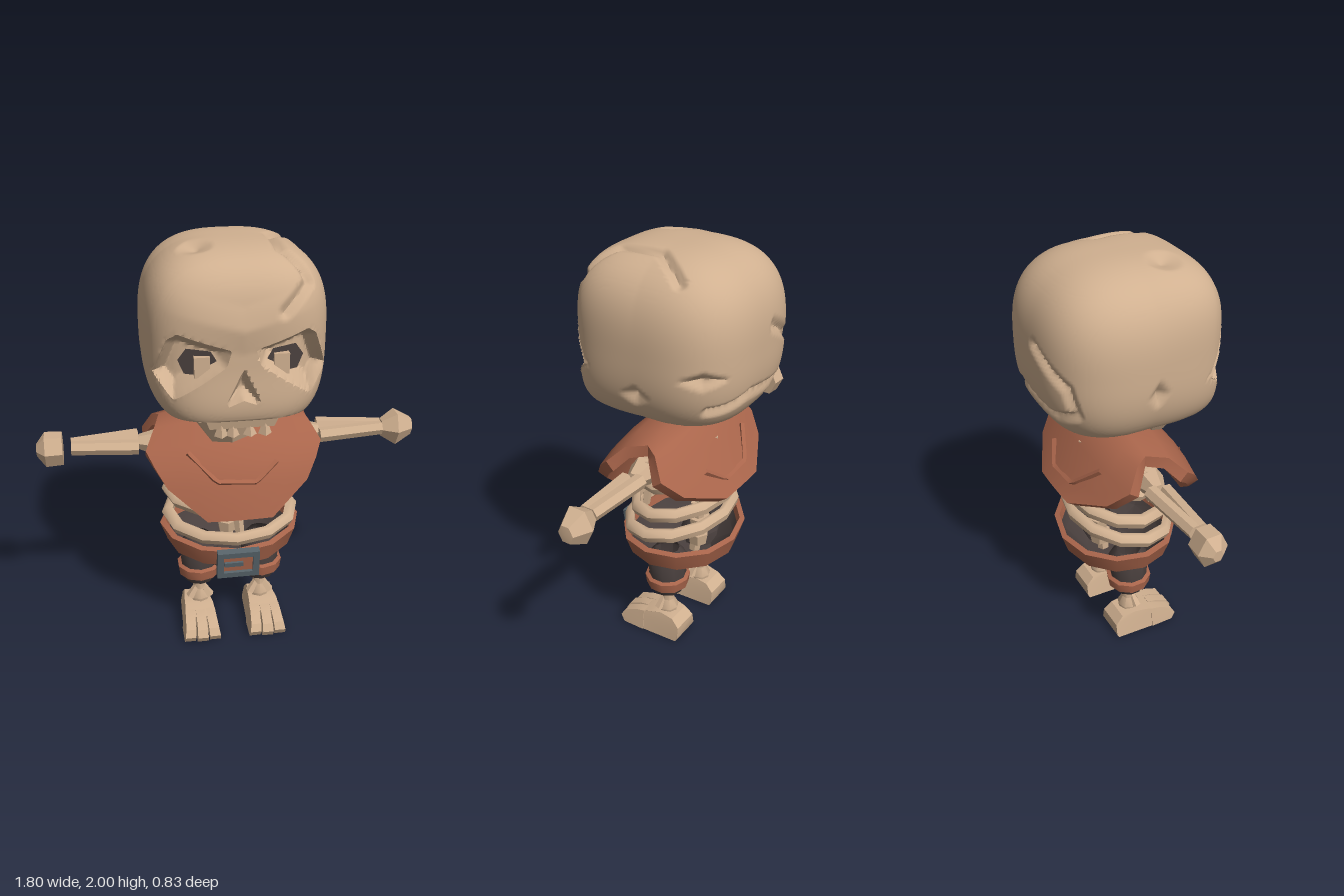
import * as THREE from 'three';
import { mergeVertices, toCreasedNormals } from 'three/addons/utils/BufferGeometryUtils.js';

const mat = (name, color, side = THREE.FrontSide) => new THREE.MeshStandardMaterial({ name, color, side });
const V = (x, y, z) => new THREE.Vector3(x, y, z);

export function createModel() {
  const bone = mat('bone', 0xd0b090);
  const cloth = mat('russet cloth', 0xa9654b);
  const dark = mat('dark brown', 0x4a403e, THREE.DoubleSide);
  const metal = mat('grey metal', 0x58646a);
  const model = new THREE.Group();
  model.name = 'skeleton';

  // ---- helpers ----
  const add = (name, geo, material, x = 0, y = 0, z = 0, crease = 0.55) => {
    const m = new THREE.Mesh(toCreasedNormals(geo, crease), material);
    m.name = name;
    m.position.set(x, y, z);
    model.add(m);
    return m;
  };
  const lathe = (pts, seg) => new THREE.LatheGeometry(pts.map(p => new THREE.Vector2(...p)), seg);
  const shape = pts => new THREE.Shape(pts.map(p => new THREE.Vector2(...p)));
  const rod = (name, a, b, ra, rb, sides = 6) => {
    const d = b.clone().sub(a);
    const m = add(name, new THREE.CylinderGeometry(rb, ra, d.length(), sides), bone);
    m.position.copy(a).add(b).multiplyScalar(0.5);
    m.quaternion.setFromUnitVectors(V(0, 1, 0), d.normalize());
  };
  // side profile [z, y] given a width along x
  const slab = (pts, width) => new THREE.ExtrudeGeometry(shape(pts), { depth: width, bevelEnabled: false })
    .translate(0, 0, -width / 2).rotateY(-Math.PI / 2);
  const bend = (geo, rule) => {
    const p = geo.attributes.position, v = V(0, 0, 0);
    for (let i = 0; i < p.count; i++) {
      rule(v.fromBufferAttribute(p, i));
      p.setXYZ(i, v.x, v.y, v.z);
    }
    geo.computeVertexNormals();
    return geo;
  };

  // ---- skull: rounded box with sockets, nose, cracks and chips pressed in ----
  const onSkull = v => {
    const q = V(v.x / 0.403, (v.y - 1.6) / 0.4, v.z / 0.41);
    const n = 2.8 + 0.5 * THREE.MathUtils.clamp(q.z / q.length() / 0.6, 0, 1); // squarer face
    const r = (Math.abs(q.x) ** n + Math.abs(q.y) ** n + Math.abs(q.z) ** n) ** (1 / n);
    return v.set(q.x / r * 0.403, 1.6 + q.y / r * 0.4, q.z / r * 0.41);
  };
  // press a mirrored outline into the face, pulling nearby vertices onto its rim
  const press = (v, poly, ramp, depth) => {
    const p = V(Math.abs(v.x), v.y, 0), c = V(0, 0, 0), rim = V(9, 9, 0);
    let inside = false;
    poly.forEach(([ax, ay], i) => {
      const [bx, by] = poly[(i + 1) % poly.length];
      if ((ay > p.y) !== (by > p.y) && p.x < (bx - ax) * (p.y - ay) / (by - ay) + ax) inside = !inside;
      new THREE.Line3(V(ax, ay, 0), V(bx, by, 0)).closestPointToPoint(p, true, c);
      if (c.distanceTo(p) < rim.distanceTo(p)) rim.copy(c);
    });
    const d = rim.distanceTo(p);
    if (d < 0.007) v.set(Math.sign(v.x) * Math.abs(rim.x), rim.y, v.z);
    else if (inside) v.z -= depth * Math.min(1, d / ramp);
  };
  const socket = [[0.07, 1.55], [0.05, 1.62], [0.27, 1.69], [0.31, 1.66], [0.37, 1.5], [0.29, 1.4], [0.17, 1.48]];
  const nose = [[0, 1.54], [-0.085, 1.365], [0, 1.4], [0.085, 1.365]];
  const cracks = [
    [[0.3, 1.93, -0.17], [0.18, 2, 0], [0.18, 1.97, 0.2], [0.28, 1.87, 0.32], [0.17, 1.77, 0.39]],
    [[-0.06, 1.68, -0.4], [-0.28, 1.56, -0.37], [-0.3, 1.43, -0.34], [-0.18, 1.38, -0.38], [0.1, 1.42, -0.4], [0.32, 1.37, -0.33]],
  ].map(path => {
    const out = [];
    for (let i = 0; i + 1 < path.length; i++)
      for (let k = 0; k <= 16; k++) out.push(onSkull(V(...path[i]).lerp(V(...path[i + 1]), k / 16)));
    return out;
  }).flat();
  // diamond chips: position, half width, half height
  const chips = [[[-0.18, 2, 0.15], 0.09, 0.1], [[0.34, 1.54, -0.31], 0.13, 0.045],
    [[0.4, 1.42, 0], 0.08, 0.06], [[-0.4, 1.5, 0], 0.05, 0.08]].map(([p, w, h]) => [onSkull(V(...p)), w, h]);
  const centre = V(0, 1.6, 0);
  let skull = new THREE.BoxGeometry(2, 2, 2, 60, 60, 60);
  skull.deleteAttribute('normal');
  skull.deleteAttribute('uv');
  skull = mergeVertices(skull);
  bend(skull, v => {
    onSkull(v.multiplyScalar(0.4).add(centre));
    let dent = 0;
    for (const c of cracks) dent = Math.max(dent, 0.028 * (1 - v.distanceTo(c) / 0.034));
    for (const [c, w, h] of chips)
      dent = Math.max(dent, 0.035 * (1 - Math.hypot(v.x - c.x, v.z - c.z) / w - Math.abs(v.y - c.y) / h));
    v.addScaledVector(centre.clone().sub(v).normalize(), dent);
    v.y = Math.max(v.y, 1.3);
    if (v.z > 0) {
      const ax = Math.abs(v.x), low = Math.max(0, (1.55 - v.y) / 0.25);
      v.z *= 1 + 0.13 * low * low;
      if (v.z > 0.18) {
        const ridge = Math.max(0, 1 - Math.abs(v.y - 1.7 - ax * 0.25) / 0.1);
        v.z += 0.015 * ridge * Math.max(0, 1 - ax / 0.34);
        press(v, socket, 0.05, 0.1);
        press(v, nose, 0.03, 0.07);
      }
    }
  });
  add('skull', skull, bone, 0, 0, 0, 0.8);

  // ---- eyes, muzzle, jaw and teeth ----
  for (const s of [1, -1]) {
    const hole = [[0.1, 1.55], [0.13, 1.6], [0.23, 1.61], [0.265, 1.56], [0.24, 1.5], [0.14, 1.49]];
    const plate = bend(new THREE.ShapeGeometry(shape(hole.map(([x, y]) => [x * s, y]))),
      v => { v.z = 0.355 - (Math.abs(v.x) - 0.1) * 0.22; });
    add('eyeSocket', plate, dark);
    add('eye', new THREE.BoxGeometry(0.066, 0.09, 0.04), bone, 0.167 * s, 1.535, 0.343);
  }
  add('muzzle', bend(new THREE.BoxGeometry(2, 1, 1), v => {
    const top = v.y > 0, front = v.z > 0;
    v.set(v.x * (front ? (top ? 0.17 : 0.14) : 0.2), top ? 1.34 : front ? 1.255 : 1.27, front ? (top ? 0.39 : 0.37) : 0.1);
  }), bone);
  const jaw = add('lowerJaw', new THREE.CylinderGeometry(0.175, 0.11, 0.125, 7), bone, -0.03, 1.19, 0.14);
  jaw.rotation.z = 0.12;
  for (const [x, h] of [[-0.09, 0.09], [-0.04, 0.07], [0.035, 0.06], [0.1, 0.085]])
    add('tooth', new THREE.ConeGeometry(0.03, h, 4), bone, x, 1.22 + h / 2, 0.362);
  rod('jawHinge', V(-0.12, 1.2, 0.12), V(-0.14, 1.32, 0.05), 0.05, 0.05);
  rod('jawHinge', V(0.08, 1.22, 0.12), V(0.14, 1.32, 0.05), 0.04, 0.05);

  // ---- shawl: a strip draped over the shoulders, stations are [z, y, half width] ----
  const drape = [[0.325, 0.775, 0.15], [0.285, 0.93, 0.32], [0.24, 1.02, 0.37], [0.18, 1.09, 0.405], [0.09, 1.16, 0.36],
    [-0.02, 1.178, 0.33], [-0.09, 1.16, 0.36], [-0.165, 1.07, 0.405], [-0.23, 0.975, 0.34], [-0.3, 0.875, 0.14]];
  const last = drape.length - 1;
  add('shawl', bend(new THREE.BoxGeometry(2, 1, last, 6, 1, last), v => {
    const i = Math.round(last / 2 - v.z), a = drape[Math.max(0, i - 1)], b = drape[Math.min(last, i + 1)];
    const dz = b[0] - a[0], dy = b[1] - a[1], len = Math.hypot(dz, dy), [z, y, w] = drape[i];
    const x = v.x * w, off = v.y * 0.055 - 0.06 * (x / 0.4) ** 2; // edges curl in towards the body
    v.set(x, y - off * dz / len, z + off * dy / len);
  }), cloth, 0, 0, 0, 0.7);
  for (const s of [1, -1]) {
    const fold = [[-0.22, 1.07, 0.212], [-0.1, 0.955, 0.298], [0.08, 0.945, 0.302], [0.18, 1.02, 0.252]];
    const curve = new THREE.CurvePath();
    for (let i = 0; i < 3; i++) curve.add(new THREE.LineCurve3(
      ...[fold[i], fold[i + 1]].map(([x, y, z]) => V(x, y, s > 0 ? z : 0.028 - z))));
    add('shawlFold', new THREE.TubeGeometry(curve, 18, 0.014, 4), cloth);
  }

  // ---- spine, sternum and ribs ----
  rod('spine', V(0, 0.42, -0.06), V(0, 1.1, -0.13), 0.03, 0.03);
  rod('neck', V(0, 1.08, -0.06), V(0, 1.34, 0.02), 0.06, 0.07);
  for (let i = 0; i < 7; i++)
    add('vertebra', new THREE.CylinderGeometry(0.055, 0.045, 0.06, 6), bone, 0, 0.5 + i * 0.095, -0.08 - i * 0.008);
  for (const [y, w, d, z, tilt] of [[0.655, 0.335, 0.265, 0.015, 0.15], [0.775, 0.33, 0.245, -0.01, 0.14],
    [0.9, 0.28, 0.2, 0, 0.12], [1.0, 0.2, 0.16, -0.02, 0.12]]) {
    const rib = add('ribs', lathe([[0.84, -0.018], [0.96, -0.03], [1, 0], [0.94, 0.03], [0.84, 0.024], [0.84, -0.018]], 12), bone, 0, y, z);
    rib.scale.set(w, 1, d);
    rib.rotation.x = tilt;
  }
  rod('sternum', V(0.02, 0.6, 0.22), V(0, 0.82, 0.2), 0.02, 0.03, 5);

  // ---- arms and hands ----
  for (const s of [1, -1]) {
    const P = (x, y, z) => V(x * s, y, z);
    rod('collarBone', P(0.02, 1.06, -0.08), P(0.25, 1.05, 0), 0.03, 0.04);
    rod('upperArm', P(0.2, 1.04, 0), P(0.34, 1.03, 0), 0.065, 0.065);
    rod('elbow', P(0.33, 1.03, 0), P(0.43, 1.035, -0.01), 0.07, 0.035);
    rod('forearmBone', P(0.43, 1.045, -0.048), P(0.74, 1.035, -0.018), 0.036, 0.034);
    rod('forearmBone', P(0.43, 1.025, 0.03), P(0.74, 1.035, 0.014), 0.036, 0.034);
    const fist = s > 0 ? [[0, 0.745], [0.045, 0.745], [0.092, 0.815], [0.045, 0.895], [0, 0.9]]
      : [[0, 0.78], [0.08, 0.78], [0.085, 0.86], [0.03, 0.9], [0, 0.9]];
    const hand = add('hand', lathe(fist, 6), bone, 0, 1.025, -0.01);
    hand.rotation.z = -s * Math.PI / 2;
    hand.scale.z = 0.85;
  }

  // ---- trousers, belt and buckle ----
  const sag = v => { v.y -= 0.025 * (v.z / 0.34) ** 2; };
  const seat = add('trouserSeat', bend(lathe([[0, 0.37], [0.16, 0.385], [0.28, 0.5], [0.315, 0.57]], 12), sag), dark);
  const belt = add('belt', bend(lathe([[0.29, 0.49], [0.31, 0.49], [0.345, 0.588], [0.315, 0.593], [0.29, 0.49]], 12), sag), cloth);
  for (const part of [seat, belt]) part.scale.z = 0.83;
  const rect = (C, w, h) => [[-w, -h], [w, -h], [w, h], [-w, h]].reduce(
    (p, [x, y], i) => (i ? p.lineTo(x, y) : p.moveTo(x, y), p), new C());
  const frame = rect(THREE.Shape, 0.1, 0.075);
  frame.holes.push(rect(THREE.Path, 0.07, 0.046));
  const buckle = new THREE.Group();
  buckle.name = 'buckle';
  buckle.position.set(0, 0.505, 0.262);
  buckle.rotation.x = 0.15;
  model.add(buckle);
  buckle.add(
    add('buckleFrame', new THREE.ExtrudeGeometry(frame, { depth: 0.035, bevelEnabled: false }), metal),
    add('buckleLeather', new THREE.BoxGeometry(0.15, 0.105, 0.02), cloth, 0, 0, 0.01),
    add('buckleProng', new THREE.BoxGeometry(0.09, 0.024, 0.012), metal, -0.022, 0, 0.025),
  );

  // ---- legs and feet ----
  const narrow = v => { v.x *= 1 - 2 * Math.max(0, v.y - 0.02) - (v.z < 0 ? 0.12 : 0); };
  for (const s of [1, -1]) {
    const x = 0.155 * s, footX = 0.165 * s;
    add('trouserLeg', lathe([[0, 0.25], [0.075, 0.25], [0.1, 0.3], [0.092, 0.36], [0.1, 0.45], [0.06, 0.5]], 10), dark, x, 0, 0, 0.8);
    add('cuff', lathe([[0.085, 0.295], [0.105, 0.29], [0.112, 0.34], [0.085, 0.352], [0.085, 0.295]], 10), cloth, x, 0, 0, 0.7);
    add('shin', lathe([[0.04, 0.09], [0.055, 0.14], [0.032, 0.185], [0.036, 0.26]], 8), bone, x, 0, 0, 0.8);
    for (const k of [1, -1]) rod('ankle', V(x + k * 0.015, 0.2, 0.01), V(x + k * 0.05, 0.14, 0.02), 0.016, 0.024, 5);
    add('foot', bend(slab([[-0.1, 0], [0.14, 0], [0.14, 0.095], [0.06, 0.12], [0, 0.13], [-0.07, 0.12], [-0.11, 0.08], [-0.11, 0.02]], 0.18),
      narrow), bone, footX);
    for (const k of [-1, 0, 1])
      add('toe', bend(slab([[0.1, 0], [0.215, 0], [0.235, 0.035], [0.215, 0.07], [0.15, 0.1], [0.1, 0.11]], 0.056)
        .translate(k * 0.064, 0, k ? -0.008 : 0), narrow), bone, footX);
  }
  return model;
}
